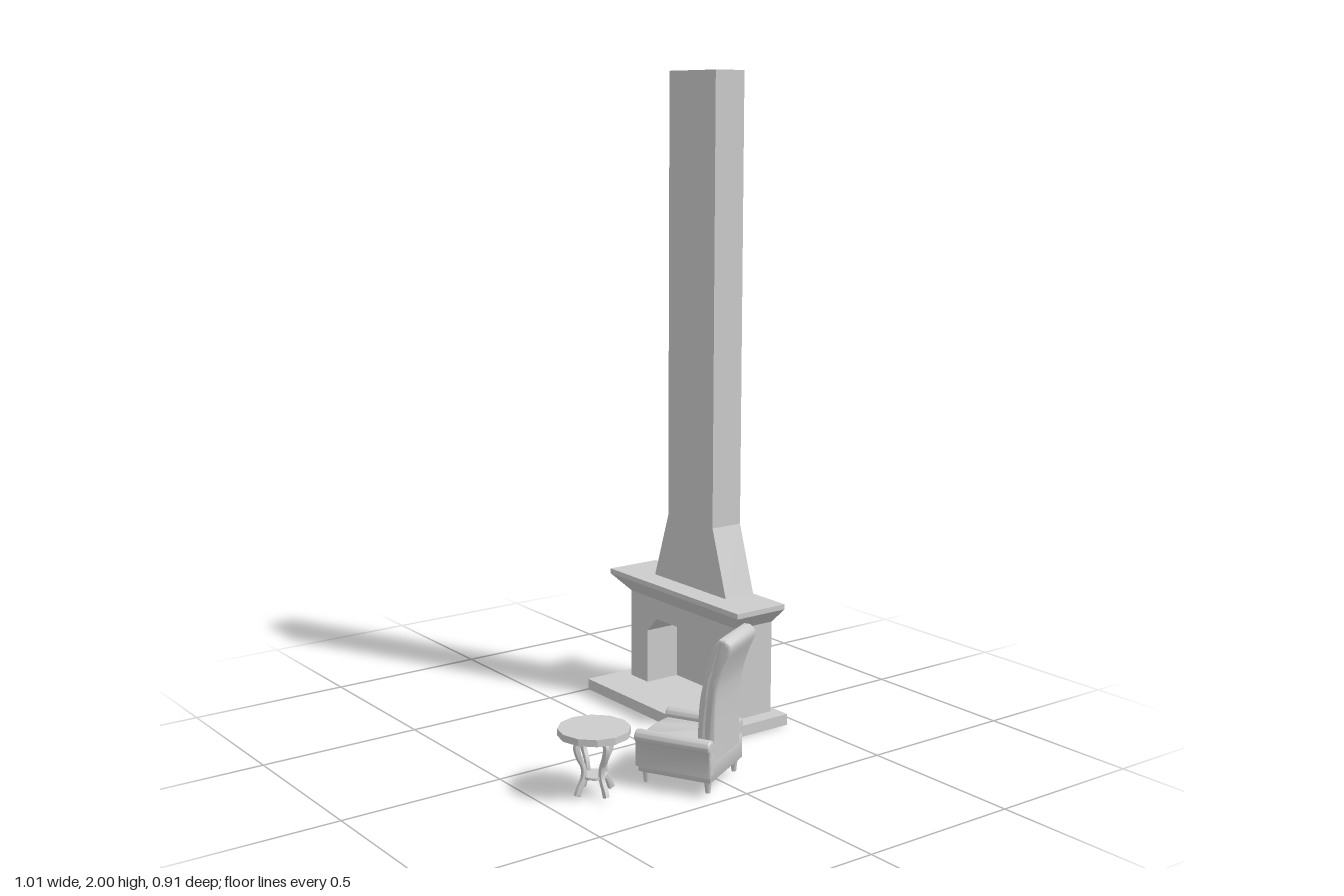
import * as THREE from 'three';
import { toCreasedNormals } from 'three/addons/utils/BufferGeometryUtils.js';

const mat = new THREE.MeshStandardMaterial({ color: 0xcccccc, side: THREE.DoubleSide });

function add(group, name, geometry) {
  const mesh = new THREE.Mesh(geometry, mat);
  mesh.name = name;
  group.add(mesh);
  return mesh;
}

// Six-sided block whose bottom and top rectangles [x0, x1, z0, z1] may differ
function block(y0, y1, bottom, top = bottom) {
  const g = new THREE.BoxGeometry(1, 1, 1);
  const p = g.attributes.position;
  for (let i = 0; i < p.count; i++) {
    const up = p.getY(i) > 0;
    const r = up ? top : bottom;
    p.setXYZ(i, r[p.getX(i) > 0 ? 1 : 0], up ? y1 : y0, r[p.getZ(i) > 0 ? 3 : 2]);
  }
  g.computeVertexNormals();
  return g;
}

const toShape = (pts) => new THREE.Shape(pts.map(([x, y]) => new THREE.Vector2(x, y)));

// Extrusion of total length `depth`, centred on z, with rounded rims kept inside the outline
function padded(shape, depth, bevel) {
  const g = new THREE.ExtrudeGeometry(shape, {
    depth: depth - 2 * bevel, curveSegments: 8, bevelEnabled: bevel > 0,
    bevelSize: bevel, bevelThickness: bevel, bevelOffset: -bevel, bevelSegments: 4,
  });
  g.translate(0, 0, -(depth - 2 * bevel) / 2);
  return toCreasedNormals(g, 0.7);
}

function createFireplace() {
  const g = new THREE.Group();
  g.name = 'fireplace';
  add(g, 'hearthSlab', block(0, 0.035, [-0.5, 0.145, -0.455, -0.15]));
  // Surround with a chamfered opening
  const front = toShape([
    [-0.45, 0.035], [-0.36, 0.035], [-0.36, 0.21], [-0.31, 0.26], [-0.045, 0.26],
    [0.005, 0.21], [0.005, 0.035], [0.095, 0.035], [0.095, 0.325], [-0.45, 0.325],
  ]);
  const surround = new THREE.ExtrudeGeometry(front, { depth: 0.12, bevelEnabled: false });
  add(g, 'surround', surround.translate(0, 0, -0.41));
  add(g, 'firebox back', block(0.035, 0.325, [-0.45, 0.095, -0.43, -0.41]));
  // Mantel flares to the front and sides
  const shelf = [-0.505, 0.155, -0.43, -0.245];
  add(g, 'mantelFlare', block(0.325, 0.378, [-0.45, 0.095, -0.43, -0.29], shelf));
  add(g, 'mantelShelf', block(0.378, 0.394, shelf));
  const stack = [-0.29, -0.063, -0.43, -0.32];
  add(g, 'chimneyHood', block(0.394, 0.605, [-0.36, 0.005, -0.43, -0.32], stack));
  add(g, 'chimneyStack', block(0.605, 2, stack));
  return g;
}

function createArmchair() {
  const g = new THREE.Group();
  g.name = 'armchair';
  // Plan outline with a bowed front, extruded upwards
  const slab = (w, back, frontSide, frontMid, y0, y1, bevel) => {
    const s = new THREE.Shape();
    s.moveTo(-w, -back);
    s.lineTo(-w, -frontSide);
    s.quadraticCurveTo(0, -(2 * frontMid - frontSide), w, -frontSide);
    s.lineTo(w, -back);
    return padded(s, y1 - y0, bevel).rotateX(-Math.PI / 2).translate(0, (y0 + y1) / 2, 0);
  };
  add(g, 'seatBase', slab(0.113, -0.108, 0.113, 0.122, 0.045, 0.125, 0.004));
  add(g, 'seatCushion', slab(0.086, -0.09, 0.117, 0.128, 0.115, 0.143, 0.008));

  // Arms: upright panel with a rolled top
  for (const side of [-1, 1]) {
    const s = new THREE.Shape();
    s.moveTo(0.084, 0.06);
    s.lineTo(0.114, 0.06);
    s.lineTo(0.115, 0.132);
    s.absarc(0.103, 0.147, 0.02, -0.85, Math.PI + 0.5, false);
    s.lineTo(0.084, 0.13);
    const arm = padded(s, 0.232, 0.006).translate(0, 0, 0.008);
    if (side < 0) arm.rotateY(Math.PI).translate(0, 0, 0.016);
    add(g, side < 0 ? 'rightArm' : 'leftArm', arm);
  }

  // Back: curved side profiles (depth, height) extruded across the width
  const v = (pts) => pts.map(([x, y]) => new THREE.Vector2(x, y));
  const backPart = (name, frontLine, rearLine, width, bevel) => {
    const pts = [
      ...new THREE.SplineCurve(v(frontLine)).getPoints(14),
      ...new THREE.SplineCurve(v(rearLine)).getPoints(14),
    ];
    add(g, name, padded(new THREE.Shape(pts), width, bevel).rotateY(-Math.PI / 2));
  };
  backPart('backCushion',
    [[-0.055, 0.12], [-0.059, 0.25], [-0.075, 0.34], [-0.1, 0.425], [-0.117, 0.452]],
    [[-0.135, 0.45], [-0.118, 0.4], [-0.096, 0.31], [-0.086, 0.22], [-0.086, 0.12]], 0.176, 0.01);
  backPart('backShell',
    [[-0.08, 0.1], [-0.08, 0.22], [-0.09, 0.31], [-0.112, 0.41], [-0.122, 0.456]],
    [[-0.14, 0.456], [-0.157, 0.433], [-0.134, 0.37], [-0.115, 0.29], [-0.109, 0.1]], 0.186, 0.009);

  // Short tapered legs
  for (const x of [-0.092, 0.092]) for (const z of [-0.092, 0.098]) {
    const leg = add(g, 'chairLeg', new THREE.CylinderGeometry(0.012, 0.007, 0.042, 10));
    leg.position.set(x, 0.031, z);
  }
  g.position.set(0.325, 0, 0.06);
  g.rotation.y = -1.087;
  return g;
}

function createTable() {
  const g = new THREE.Group();
  g.name = 'sideTable';
  const disc = (name, r, y0, y1) =>
    add(g, name, new THREE.CylinderGeometry(r, r, y1 - y0, 12)
      .toNonIndexed().translate(0, (y0 + y1) / 2, 0)).geometry.computeVertexNormals();
  disc('tableTop', 0.103, 0.178, 0.198);
  disc('apron', 0.066, 0.166, 0.178);
  disc('lowerShelf', 0.038, 0.056, 0.063);

  // Four S-curved legs: a ribbon of varying width around a spline (radius, height)
  const spine = new THREE.SplineCurve([
    [0.05, 0.17], [0.059, 0.15], [0.051, 0.12], [0.037, 0.09], [0.036, 0.06], [0.05, 0.03], [0.058, 0.01],
  ].map(([x, y]) => new THREE.Vector2(x, y)));
  const left = [], right = [];
  for (let i = 0; i <= 20; i++) {
    const t = i / 20, p = spine.getPoint(t), d = spine.getTangent(t);
    const w = 0.006 + 0.003 * Math.abs(Math.cos(t * Math.PI));
    left.push(new THREE.Vector2(p.x - d.y * w, p.y + d.x * w));
    right.unshift(new THREE.Vector2(p.x + d.y * w, p.y - d.x * w));
  }
  const legShape = new THREE.Shape([...left, ...right]);
  for (let i = 0; i < 4; i++) {
    const leg = add(g, 'tableLeg', padded(legShape, 0.013, 0.002));
    leg.rotation.y = (i * Math.PI) / 2;
  }
  g.position.set(0.255, 0, 0.348);
  return g;
}

export function createModel() {
  const model = new THREE.Group();
  model.name = 'fireplaceSet';
  model.add(createFireplace(), createArmchair(), createTable());
  return model;
}
